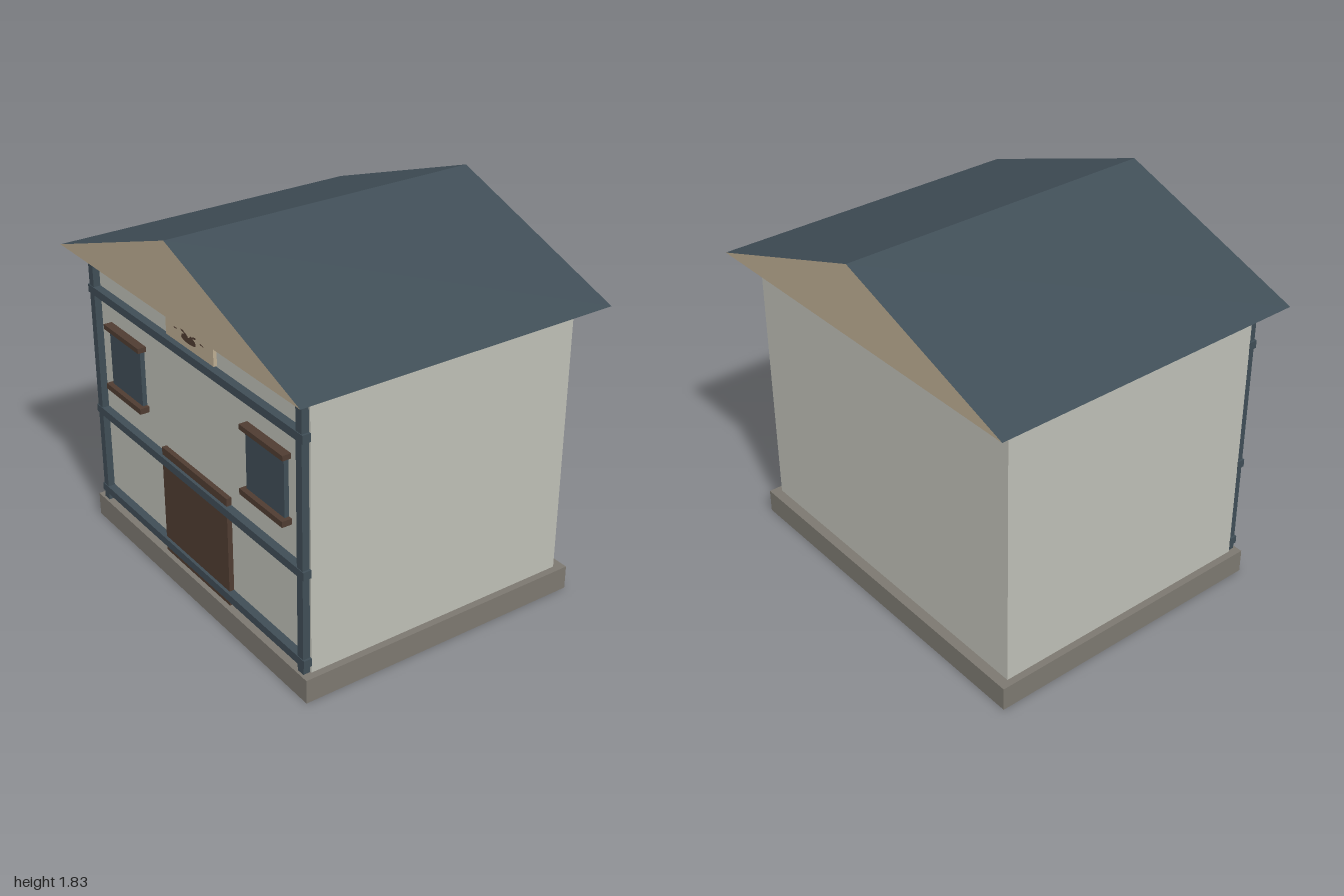
import * as THREE from 'three';

const mat = (name, color) => new THREE.MeshStandardMaterial({ name, color, side: THREE.DoubleSide });

export function createModel() {
  const house = new THREE.Group();
  house.name = 'house';
  const plaster = mat('plaster', 0xbdbeb5);
  const slate = mat('slateBlue', 0x3f4d56);
  const tan = mat('tanWood', 0xbcac92);
  const brown = mat('darkBrownWood', 0x4f3c31);
  const stone = mat('stone', 0x7c7870);

  const add = (name, geometry, material) => {
    const mesh = new THREE.Mesh(geometry, material);
    mesh.name = name;
    house.add(mesh);
    return mesh;
  };

  // Box given by its min and max on each axis; openBottom drops the lower face
  const box = (name, material, [x0, x1], [y0, y1], [z0, z1], openBottom = false) => {
    const g = new THREE.BoxGeometry(x1 - x0, y1 - y0, z1 - z0);
    g.translate((x0 + x1) / 2, (y0 + y1) / 2, (z0 + z1) / 2);
    if (openBottom) {
      g.setIndex(Array.from(g.index.array).filter((_, i) => i < 18 || i >= 24));
      g.clearGroups();
    }
    return add(name, g, material);
  };

  // Hollow plinth and wall shell
  box('plinth', stone, [-0.93, 0.93], [0, 0.12], [-0.745, 0.745], true);
  box('walls', plaster, [-0.895, 0.895], [0.06, 1.48], [-0.695, 0.695], true);

  // Gable roof: two slopes and two end panels, open underneath
  const eave = 1.48, ridge = 1.833, halfDepth = 0.813;
  const rise = ridge - eave;
  for (const side of [-1, 1]) {
    const slope = new THREE.PlaneGeometry(Math.hypot(1, rise), halfDepth * 2);
    slope.rotateX(-Math.PI / 2);
    slope.rotateZ(-side * Math.atan(rise));
    slope.translate(side * 0.5, (eave + ridge) / 2, 0);
    add(side > 0 ? 'leftRoofSlope' : 'rightRoofSlope', slope, slate);

    const triangle = new THREE.Shape([
      new THREE.Vector2(-1, 0), new THREE.Vector2(1, 0), new THREE.Vector2(0, rise),
    ]);
    const gable = new THREE.ShapeGeometry(triangle);
    if (side < 0) gable.rotateY(Math.PI);
    gable.translate(0, eave, side * halfDepth);
    add(side > 0 ? 'frontGable' : 'backGable', gable, tan);
  }

  // Front timber rails
  for (const y of [0.177, 0.628, 1.274]) {
    box('rail', slate, [-0.898, 0.898], [y - 0.02, y + 0.02], [0.694, 0.735]);
  }

  // Corner posts and windows, mirrored
  for (const side of [-1, 1]) {
    const span = (a, b) => (side > 0 ? [a, b] : [-b, -a]);
    box('cornerPost', slate, span(0.846, 0.888), [0.03, 1.48], [0.697, 0.732]);
    box('windowPane', slate, span(0.449, 0.738), [0.826, 1.113], [0.69, 0.718]);
    box('windowLintel', brown, span(0.43, 0.758), [1.112, 1.137], [0.69, 0.738]);
    box('windowSill', brown, span(0.43, 0.758), [0.797, 0.826], [0.69, 0.744]);
  }

  // Door and sign board
  box('door', brown, [-0.282, 0.282], [0.05, 0.687], [0.69, 0.72]);
  box('signBoard', tan, [-0.2, 0.2], [1.3, 1.42], [0.69, 0.712]);

  // Carved ornament on the board: rounded blob, small leaves and dashes
  const carve = (name, x, y, rx, ry, tilt = 0) => {
    const g = new THREE.CircleGeometry(1, 20);
    g.scale(rx, ry, 1);
    g.rotateZ(tilt);
    g.translate(x, y, 0.715);
    add(name, g, brown);
  };
  carve('ornamentCentre', 0, 1.344, 0.062, 0.015);
  for (const side of [-1, 1]) {
    carve('ornamentCurl', side * 0.032, 1.354, 0.028, 0.012, -side * 0.2);
    carve('ornamentLeaf', side * 0.045, 1.373, 0.019, 0.005, side * 0.2);
    carve('ornamentLeafTip', side * 0.026, 1.366, 0.012, 0.004, -side * 0.4);
    carve('ornamentDash', side * 0.11, 1.365, 0.017, 0.003, -side * 0.1);
  }

  return house;
}
